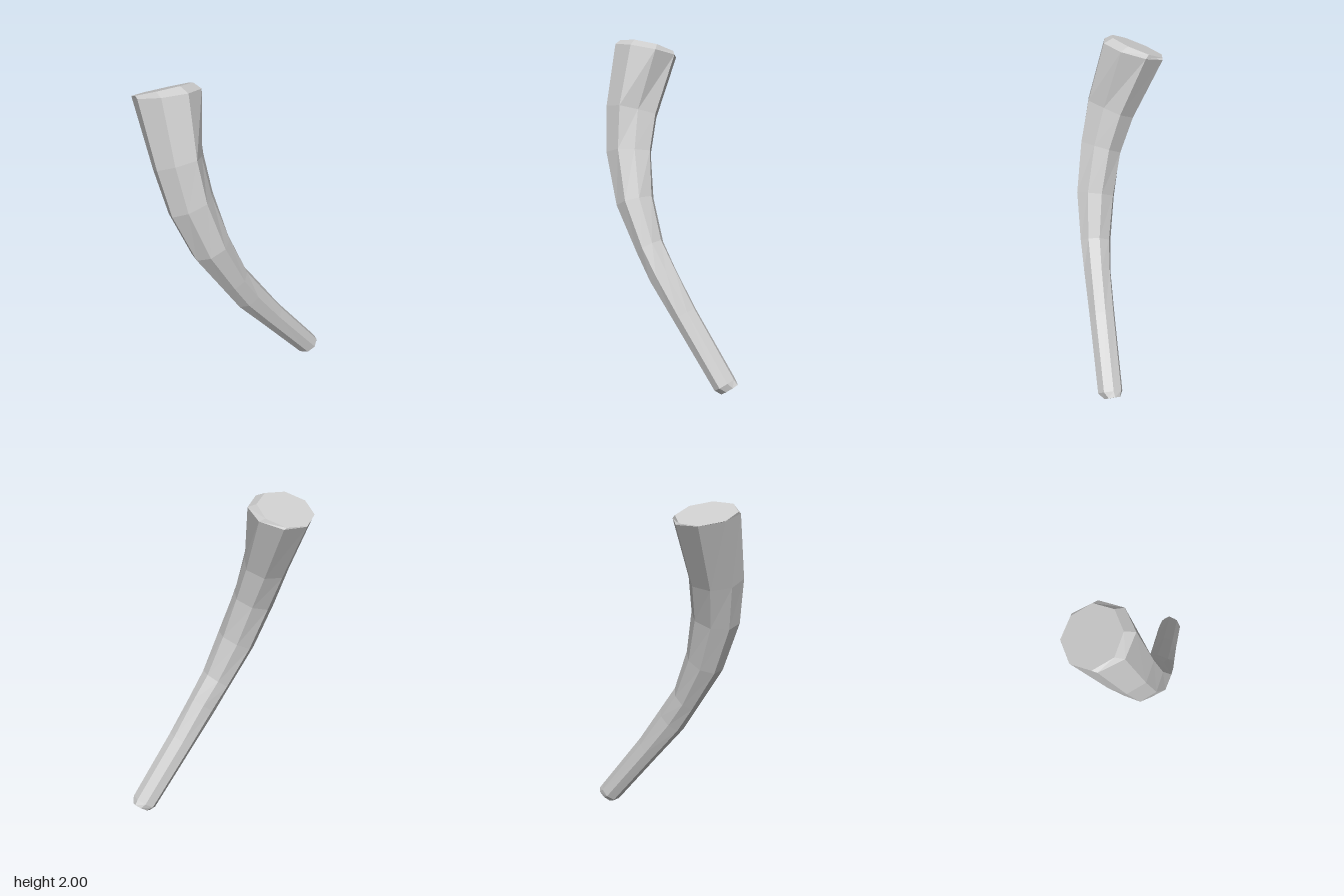
import * as THREE from 'three';

const SIDES = 8;

// Cross-sections from the thin end to the thick end: centre, half axis to the
// left side (x, y), half axis to the front (y, z), scale of the front-left corner
const RINGS = [
  { centre: [0.46, 0.043, 0.277], side: [0.05, 0.04], front: [0.005, 0.05], corner: 1 },
  { centre: [0.43, 0.068, 0.278], side: [0.057, 0.045], front: [0.01, 0.077], corner: 1 },
  { centre: [0.138, 0.428, 0.219], side: [0.062, 0.053], front: [0.015, 0.081], corner: 1 },
  { centre: [-0.024, 0.64, 0.187], side: [0.076, 0.06], front: [0.02, 0.086], corner: 0.95 },
  { centre: [-0.125, 0.794, 0.16], side: [0.075, 0.056], front: [0.025, 0.097], corner: 0.92 },
  { centre: [-0.252, 1.05, 0.11], side: [0.113, 0.05], front: [0.035, 0.12], corner: 0.88 },
  { centre: [-0.33, 1.33, 0.043], side: [0.146, 0.03], front: [0.05, 0.126], corner: 0.8 },
  { centre: [-0.347, 1.57, -0.03], side: [0.163, 0], front: [0.06, 0.142], corner: 0.76 },
  { centre: [-0.318, 1.925, -0.167], side: [0.193, -0.015], front: [0.05, 0.187], corner: 1 },
  { centre: [-0.325, 1.938, -0.195], side: [0.178, -0.01], front: [0.062, 0.155], corner: 1 },
];

function ringPoints({ centre, side, front, corner }) {
  return Array.from({ length: SIDES }, (_, k) => {
    const angle = (k / SIDES) * Math.PI * 2;
    const scale = k === 1 ? corner : 1;
    const c = Math.cos(angle) * scale;
    const s = Math.sin(angle) * scale;
    return new THREE.Vector3(
      centre[0] + side[0] * c,
      centre[1] + side[1] * c + front[0] * s,
      centre[2] + front[1] * s
    );
  });
}

function stickGeometry() {
  const rings = RINGS.map(ringPoints);
  const points = [];
  // Sides
  for (let i = 0; i < rings.length - 1; i++) {
    for (let k = 0; k < SIDES; k++) {
      const n = (k + 1) % SIDES;
      const a = rings[i][k], b = rings[i + 1][k], c = rings[i][n], d = rings[i + 1][n];
      points.push(a, b, c, c, b, d);
    }
  }
  // Flat ends
  const bottom = rings[0], top = rings[rings.length - 1];
  for (let k = 1; k < SIDES - 1; k++) {
    points.push(bottom[0], bottom[k], bottom[k + 1]);
    points.push(top[0], top[k + 1], top[k]);
  }
  const geometry = new THREE.BufferGeometry().setFromPoints(points);
  geometry.computeVertexNormals();
  return geometry;
}

export function createModel() {
  const paleGrey = new THREE.MeshStandardMaterial({ color: 0xcccccc });
  paleGrey.name = 'paleGrey';
  paleGrey.flatShading = true;
  const stick = new THREE.Mesh(stickGeometry(), paleGrey);
  stick.name = 'bentStick';
  const group = new THREE.Group();
  group.name = 'bentBranch';
  group.add(stick);
  return group;
}
